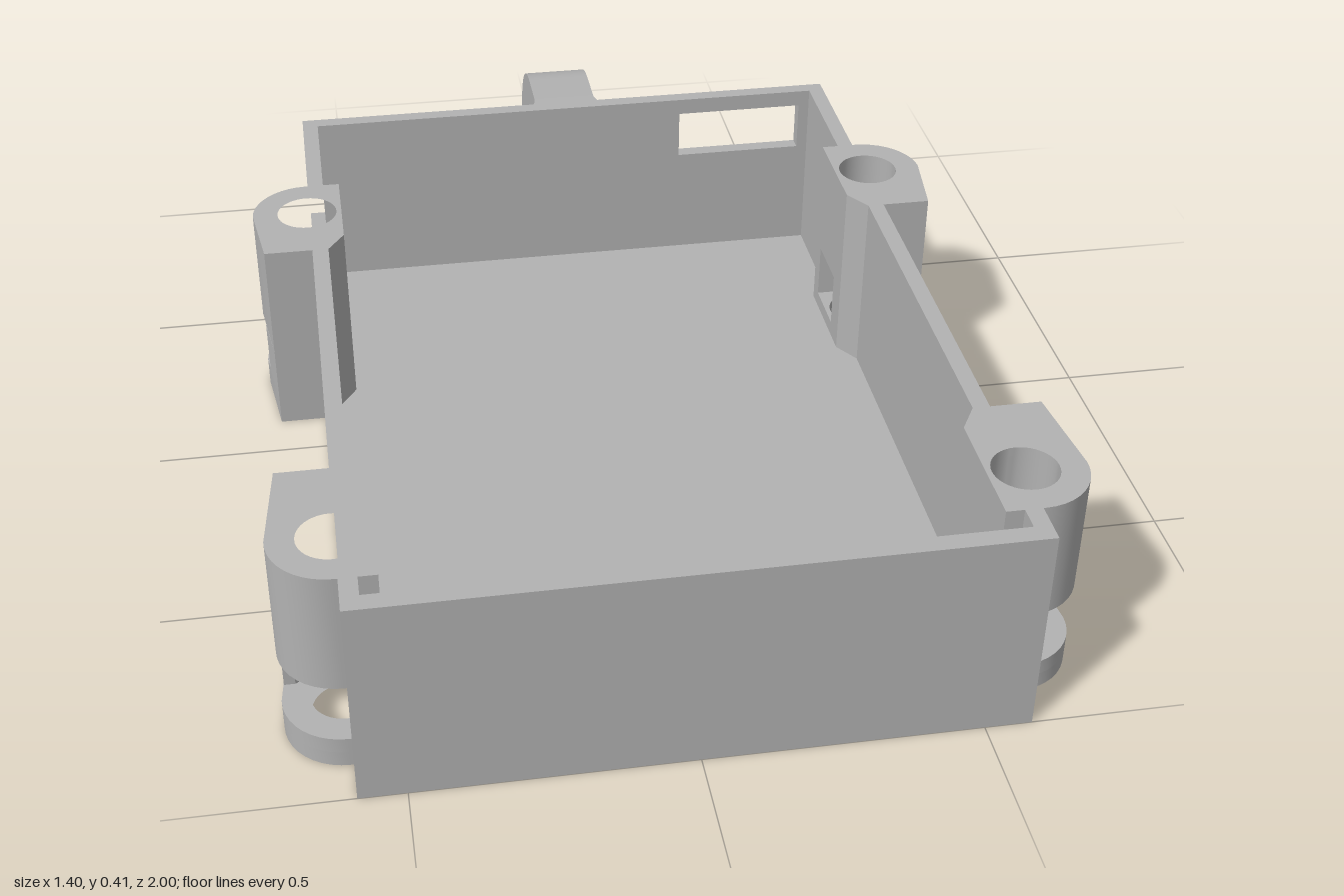
import * as THREE from 'three';
import { toCreasedNormals } from 'three/addons/utils/BufferGeometryUtils.js';

const HOLES_Z = [0.81, -0.25];
const HOLE_X = 0.59, HOLE_R = 0.06;
const WALL_OUT = 0.585, WALL_IN = 0.553, BLOCK_IN = 0.52;
const FLOOR = 0.03, SLOT_LOW = 0.06, SLOT_HIGH = 0.175, TOP = 0.41;

// Plan outline from [x, z] points; side = -1 mirrors it across x = 0
const plan = (pts, side = 1) => new THREE.Shape(pts.map(([x, z]) => new THREE.Vector2(x * side, -z)));

function circle(shape, x, y, r) {
  const hole = new THREE.Path();
  hole.absarc(x, y, r, 0, Math.PI * 2, true);
  shape.holes.push(hole);
}

function extrude(shape, depth) {
  const g = new THREE.ExtrudeGeometry(shape, { depth, bevelEnabled: false, curveSegments: 20 });
  return toCreasedNormals(g, 0.5);
}

// Extrude a plan outline upwards between two heights
function slab(shape, y0, y1) {
  return extrude(shape, y1 - y0).rotateX(-Math.PI / 2).translate(0, y0, 0);
}

// Rounded outer corner of a mounting lug, from its end face to its flank
function lugCorner(z, dir) {
  const pts = [];
  for (let i = 0; i <= 10; i++) {
    const a = (i / 10) * Math.PI / 2;
    pts.push([HOLE_X + 0.11 * Math.sin(a), z + dir * 0.11 * Math.cos(a)]);
  }
  return pts;
}

// Outer edge of a side wall with its two lugs, front to back
const outerEdge = [
  [WALL_OUT, 1], [WALL_OUT, 0.92], ...lugCorner(0.81, 1),
  [0.68, 0.625], [WALL_OUT, 0.625], [WALL_OUT, -0.1], [0.68, -0.1],
  ...lugCorner(-0.25, -1).reverse(), [WALL_OUT, -0.36], [WALL_OUT, -0.655],
];

// Inner edge of a side wall with chamfered screw blocks, back to front
const innerEdge = [
  [WALL_IN, -0.655], [WALL_IN, -0.36], [BLOCK_IN, -0.36], [BLOCK_IN, -0.15], [WALL_IN, -0.1],
  [WALL_IN, 0.625], [BLOCK_IN, 0.68], [BLOCK_IN, 0.92], [WALL_IN, 0.92], [WALL_IN, 1],
];

// Wall pieces left at the height of the nut slots
const slotPieces = [
  [[WALL_OUT, 1], [WALL_OUT, 0.89], [BLOCK_IN, 0.89], [BLOCK_IN, 0.92], [WALL_IN, 0.92], [WALL_IN, 1]],
  [
    [0.695, 0.77], [0.675, 0.77], [0.605, 0.725], [BLOCK_IN, 0.77], [BLOCK_IN, 0.68], [WALL_IN, 0.625],
    [WALL_IN, -0.1], [BLOCK_IN, -0.15], [BLOCK_IN, -0.205], [0.605, -0.155], [0.675, -0.205],
    [0.695, -0.205], [0.68, -0.1], [WALL_OUT, -0.1], [WALL_OUT, 0.625], [0.68, 0.625],
  ],
  [[WALL_OUT, -0.655], [WALL_OUT, -0.325], [BLOCK_IN, -0.325], [BLOCK_IN, -0.36], [WALL_IN, -0.36], [WALL_IN, -0.655]],
];

export function createModel() {
  const model = new THREE.Group();
  const grey = new THREE.MeshStandardMaterial({ color: 0xb2b2b2 });
  grey.name = 'grey plastic';

  const add = (name, geometry, parent = model) => {
    const mesh = new THREE.Mesh(geometry, grey);
    mesh.name = name;
    parent.add(mesh);
    return mesh;
  };

  // Side walls with lugs, stacked in layers around the nut slots
  for (const side of [1, -1]) {
    const wall = new THREE.Group();
    wall.name = side > 0 ? 'leftWall' : 'rightWall';
    model.add(wall);
    const layer = (inner) => {
      const shape = plan([...outerEdge, ...inner], side);
      HOLES_Z.forEach((z) => circle(shape, HOLE_X * side, -z, HOLE_R));
      return shape;
    };
    add('wallFoot', slab(layer([[BLOCK_IN, -0.655], [BLOCK_IN, 1]]), 0, FLOOR), wall);
    add('wallLower', slab(layer(innerEdge), FLOOR, SLOT_LOW), wall);
    slotPieces.forEach((pts) => add('slotWall', slab(plan(pts, side), SLOT_LOW, SLOT_HIGH), wall));
    add('wallUpper', slab(layer(innerEdge), SLOT_HIGH, TOP), wall);
  }

  // Floor plate
  add('floor', new THREE.BoxGeometry(BLOCK_IN * 2, FLOOR, 1.655)).position.set(0, FLOOR / 2, 0.1725);

  // Front wall
  const wallHeight = TOP - FLOOR;
  add('frontWall', new THREE.BoxGeometry(WALL_IN * 2, wallHeight, 0.035))
    .position.set(0, FLOOR + wallHeight / 2, 0.9825);

  // Back wall with a cable window
  const rect = (T, x0, y0, x1, y1) =>
    new T([[x0, y0], [x1, y0], [x1, y1], [x0, y1]].map(([x, y]) => new THREE.Vector2(x, y)));
  const back = rect(THREE.Shape, -WALL_IN, FLOOR, WALL_IN, TOP);
  back.holes.push(rect(THREE.Path, 0.255, 0.27, 0.53, 0.375));
  add('backWall', extrude(back, 0.03).translate(0, 0, -0.655));

  // Hanging eye on the back
  const eye = new THREE.Shape();
  eye.moveTo(0.65, 0.037);
  eye.lineTo(0.828, 0.037);
  eye.absarc(0.828, 0.209, 0.172, -Math.PI / 2, Math.PI / 2, false);
  eye.lineTo(0.65, 0.381);
  circle(eye, 0.828, 0.209, 0.088);
  add('hangingEye', extrude(eye, 0.135).rotateY(Math.PI / 2).translate(-0.06, 0, 0));

  // Flared root of the eye
  const root = new THREE.Shape();
  root.moveTo(-0.215, 0.65);
  root.lineTo(-0.215, 0.655);
  root.lineTo(-0.11, 0.682);
  root.quadraticCurveTo(-0.062, 0.69, -0.06, 0.735);
  root.lineTo(0.075, 0.735);
  root.quadraticCurveTo(0.077, 0.69, 0.125, 0.682);
  root.lineTo(0.225, 0.655);
  root.lineTo(0.225, 0.65);
  add('eyeRoot', slab(root, 0.037, 0.381));

  return model;
}
